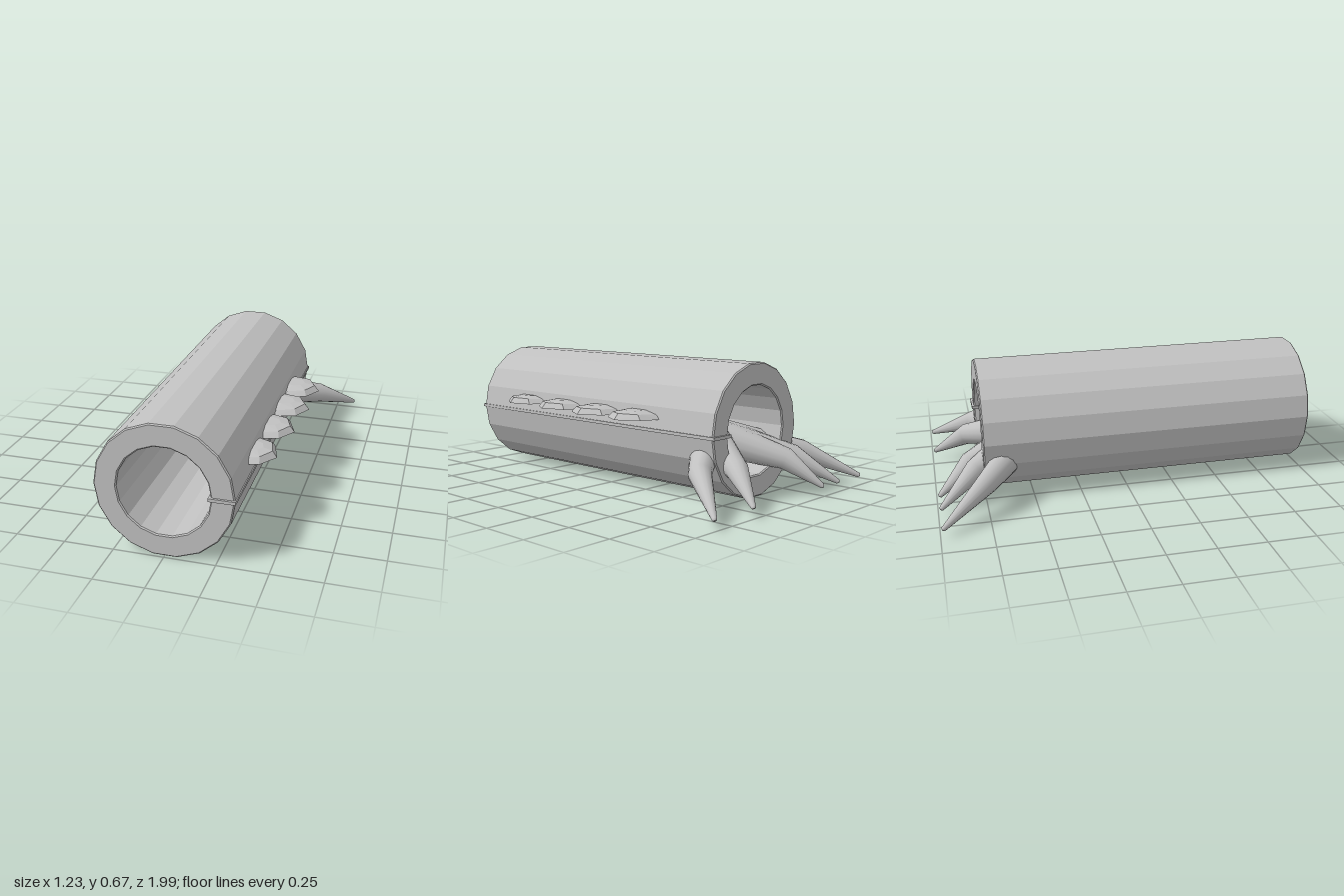
import * as THREE from 'three';
import { ConvexGeometry } from 'three/addons/geometries/ConvexGeometry.js';

const V = (x, y, z) => new THREE.Vector3(x, y, z);

// Hollow 18-sided tube lying along z, with a hairline bevel at its rims
function tubeGeometry(outer, inner, z0, z1) {
  const bevel = 0.006;
  const ring = (r) => Array.from({ length: 18 }, (_, i) => {
    const a = (i / 18) * Math.PI * 2;
    return new THREE.Vector2(Math.cos(a) * r, Math.sin(a) * r);
  });
  const shape = new THREE.Shape(ring(outer - bevel));
  shape.holes.push(new THREE.Path(ring(inner + bevel).reverse()));
  const geo = new THREE.ExtrudeGeometry(shape, {
    depth: z1 - z0 - 2 * bevel, bevelEnabled: true,
    bevelSize: bevel, bevelThickness: bevel, bevelSegments: 1,
  });
  return geo.translate(0, 0.335, z0 + bevel);
}

// Bent, tapering claw lofted from round cross-sections
function clawGeometry(hub, knee, tip, hubDir) {
  const N = 14;
  const d1 = knee.clone().sub(hub).normalize();
  const d2 = tip.clone().sub(knee).normalize();
  const bend = d1.clone().add(d2).normalize();
  const sections = [
    [hub, 0, hubDir], [hub, 0.105, hubDir], [hub, 0.105, hubDir],
    [knee, 0.056, bend], [tip, 0.012, d2],
    [tip.clone().addScaledVector(d2, 0.008), 0, d2],
  ];
  const pos = [], index = [];
  sections.forEach(([c, r, t], s) => {
    const u = V(0, 1, 0).cross(t).normalize();
    const v = t.clone().cross(u);
    for (let i = 0; i < N; i++) {
      const a = (i / N) * Math.PI * 2;
      const p = c.clone().addScaledVector(u, r * Math.cos(a)).addScaledVector(v, r * Math.sin(a));
      pos.push(p.x, p.y, p.z);
      if (s === 0 || s === 2) continue; // no skin before the cap or between the doubled rings
      const j = (i + 1) % N, a0 = (s - 1) * N, b0 = s * N;
      index.push(a0 + i, a0 + j, b0 + j, a0 + i, b0 + j, b0 + i);
    }
  });
  // skin the section that starts at the sharp hub edge
  const geo = new THREE.BufferGeometry();
  geo.setAttribute('position', new THREE.Float32BufferAttribute(pos, 3));
  geo.setIndex(index);
  geo.computeVertexNormals();
  return geo;
}

// Faceted low dome with a flat underside, pointing along +x
function lobeGeometry(halfLength, halfWidth) {
  const outline = [
    [-1, 0], [-0.55, 0.7], [0.1, 1], [0.72, 0.72], [1, 0.05],
    [0.7, -0.75], [0.1, -1], [-0.55, -0.7],
  ];
  const pts = [];
  for (const [x, z] of outline) {
    pts.push(V(x * halfLength, 0, z * halfWidth));
    pts.push(V((x * 0.72 + 0.15) * halfLength, 0.012 + 0.018 * (x * 0.4 + 0.6), z * 0.78 * halfWidth));
    pts.push(V((x * 0.35 + 0.25) * halfLength, 0.038, z * 0.35 * halfWidth));
  }
  return new ConvexGeometry(pts);
}

export function createModel() {
  const model = new THREE.Group();
  model.name = 'clawedTube';
  const grey = new THREE.MeshStandardMaterial({ color: 0xc0c0c0 });
  grey.name = 'grey';
  const add = (name, geo, parent = model) => {
    const mesh = new THREE.Mesh(geo, grey);
    mesh.name = name;
    parent.add(mesh);
    return mesh;
  };

  // Main tube
  add('tube', tubeGeometry(0.338, 0.226, -0.757, 0.987));

  // Thin seam frame wrapped round one wall of the tube
  const seam = new THREE.Group();
  seam.name = 'seam';
  model.add(seam);
  for (const x of [0.219, 0.336]) {
    add('seamRail', new THREE.BoxGeometry(0.012, 0.016, 1.76).translate(x, 0.335, 0.115), seam);
  }
  for (const z of [-0.761, 0.991]) {
    add('seamEnd', new THREE.BoxGeometry(0.129, 0.016, 0.014).translate(0.2775, 0.335, z), seam);
  }

  // Row of lobes passing through the wall above the seam
  const lobes = new THREE.Group();
  lobes.name = 'lobes';
  model.add(lobes);
  const rows = [[0.49, -0.27, 0], [0.485, 0.005, 0.02], [0.467, 0.288, -0.08], [0.445, 0.58, -0.15]];
  rows.forEach(([tipX, z, turn]) => {
    const lobe = add('lobe', lobeGeometry((tipX - 0.085) / 2, 0.15), lobes);
    lobe.position.set((tipX + 0.085) / 2, 0.39, z);
    lobe.rotation.y = turn;
  });

  // Claws fanning out of the back end from a shared hub
  const claws = new THREE.Group();
  claws.name = 'claws';
  model.add(claws);
  const hub = V(0, 0.28, -0.45);
  const fan = [
    [-0.42, -0.75, -0.61], [-0.265, -0.8, -0.4], [-0.17, -0.82, -0.255],
    [0.22, -0.81, 0.325], [0.42, -0.75, 0.605],
  ];
  fan.forEach(([kneeX, kneeZ, tipX]) => {
    const knee = V(kneeX, 0.18, kneeZ);
    const outer = Math.abs(kneeX) > 0.4;
    const dir = outer ? V(Math.sign(kneeX), 0, 0) : knee.clone().sub(hub).normalize();
    add('claw', clawGeometry(hub, knee, V(tipX, 0.05, -0.985), dir), claws);
  });
  return model;
}
